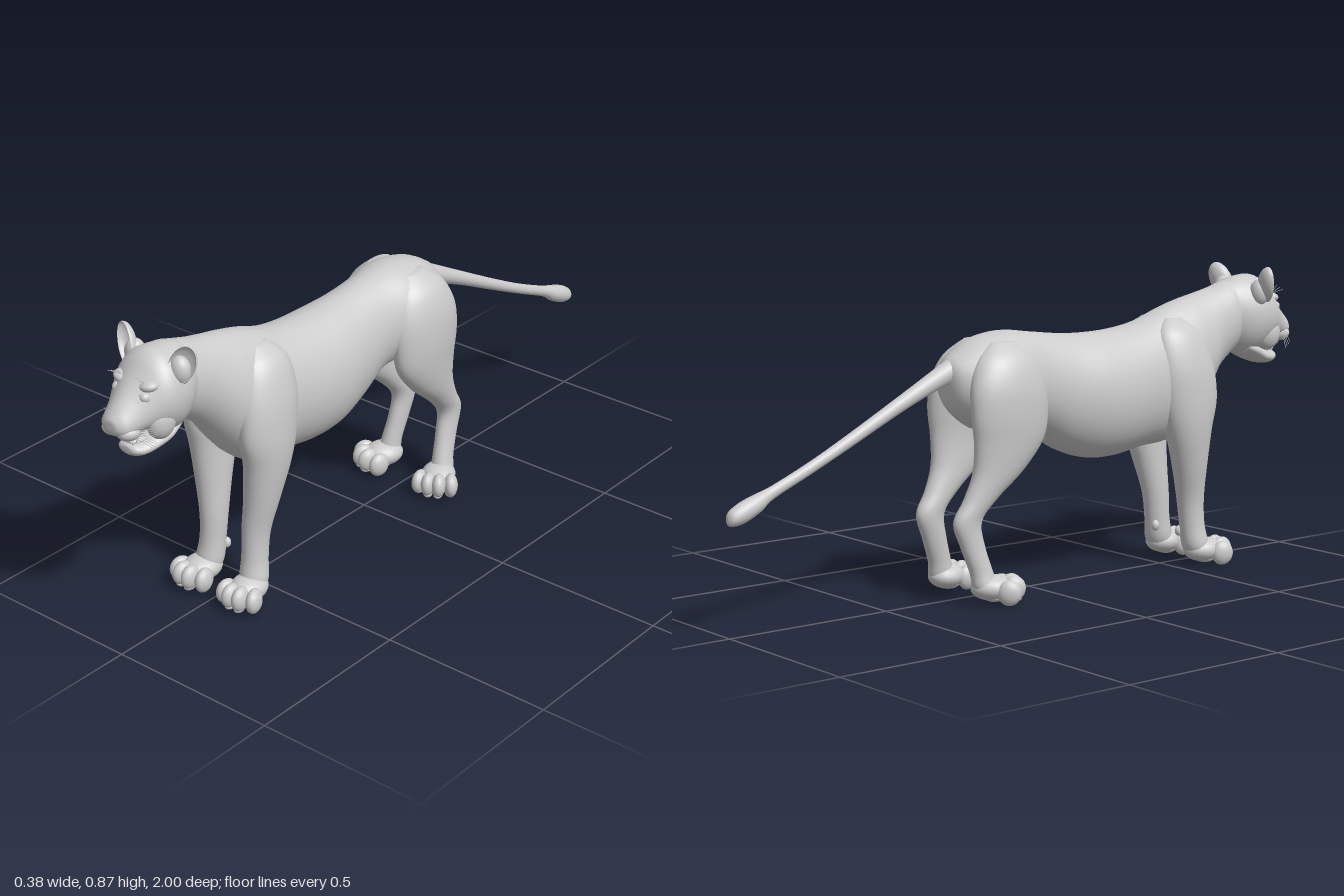
import * as THREE from 'three';

const grey = new THREE.MeshStandardMaterial({ color: 0xcccccc });
const thin = new THREE.MeshStandardMaterial({ color: 0xcccccc, side: THREE.DoubleSide });

function add(parent, name, geometry, material = grey) {
  const mesh = new THREE.Mesh(geometry, material);
  mesh.name = name;
  parent.add(mesh);
  return mesh;
}

function ellipsoid(parent, name, p, r, seg = 20) {
  const mesh = add(parent, name, new THREE.SphereGeometry(1, seg, Math.ceil(seg * 0.7)));
  mesh.position.set(...p);
  mesh.scale.set(...r);
  return mesh;
}

// Smooth skin through oval sections [x, y, z, half width, half depth, taper].
// Depth runs along y (sections go back to front) or along z (sections go top to bottom).
function loft(sections, alongZ, sub = 5, sides = 36) {
  const cr = (a, b, c, d, t) => 0.5 * (2 * b + (c - a) * t + (2 * a - 5 * b + 4 * c - d) * t * t + (3 * b - a - 3 * c + d) * t ** 3);
  const last = sections.length - 1;
  const at = (i) => sections[Math.min(Math.max(i, 0), last)];
  const rings = [];
  for (let i = 0; i < last; i++) {
    for (let k = 0; k < sub; k++) {
      rings.push(at(i).map((v, n) => cr(at(i - 1)[n], v, at(i + 1)[n], at(i + 2)[n], k / sub)));
    }
  }
  rings.push(at(last));
  const pos = [], index = [];
  for (const [x, y, z, a, b, taper = 0] of rings) {
    for (let j = 0; j < sides; j++) {
      const t = (j / sides) * Math.PI * 2, s = Math.sin(t);
      const px = x + a * Math.cos(t) * (1 - taper * s);
      pos.push(px, alongZ ? y + b * s : y, alongZ ? z : z + b * s);
    }
  }
  for (let i = 0; i < rings.length - 1; i++) {
    for (let j = 0; j < sides; j++) {
      const p = i * sides + j, q = i * sides + (j + 1) % sides;
      index.push(p, q, p + sides, q, q + sides, p + sides);
    }
  }
  const end = rings.length * sides;
  pos.push(...rings[0].slice(0, 3), ...at(last).slice(0, 3));
  for (let j = 0; j < sides; j++) {
    const k = (j + 1) % sides;
    index.push(end, k, j, end + 1, end - sides + j, end - sides + k);
  }
  const g = new THREE.BufferGeometry();
  g.setAttribute('position', new THREE.Float32BufferAttribute(pos, 3));
  g.setIndex(index);
  g.computeVertexNormals();
  return g;
}

// Central profile given as [z, top, bottom, half width, taper]
const profile = (rows) => loft(rows.map(([z, t, b, w, k = 0]) => [0, (t + b) / 2, z, w, (t - b) / 2, k]), true);
// Limb given as [y, x, z, half width, half depth]
const limb = (rows, s) => loft(rows.map(([y, x, z, a, b]) => [x * s, y, z, a, b]), false);

function paw(parent, name, s, x, z, yaw) {
  const g = new THREE.Group();
  g.name = name;
  g.position.set(x * s, 0, z);
  g.rotation.y = yaw * s;
  parent.add(g);
  ellipsoid(g, 'pawBody', [0, 0.042, 0], [0.05, 0.036, 0.062]);
  ellipsoid(g, 'heelPad', [0, 0.016, 0.005], [0.034, 0.014, 0.03], 14);
  for (const i of [-1.5, -0.5, 0.5, 1.5]) {
    const tz = 0.06 - 0.01 * i * i;
    ellipsoid(g, 'toe', [i * 0.031, 0.04 - 0.003 * i * i, tz], [0.021, 0.036, 0.034], 16).rotation.y = i * 0.15;
    ellipsoid(g, 'toePad', [i * 0.03, 0.011, tz + 0.004], [0.014, 0.01, 0.02], 10);
  }
}

function whisker(parent, a, b, sag) {
  const p = new THREE.Vector3(...a), q = new THREE.Vector3(...b);
  const mid = p.clone().lerp(q, 0.5);
  mid.y += sag;
  add(parent, 'whisker', new THREE.TubeGeometry(new THREE.QuadraticBezierCurve3(p, mid, q), 6, 0.0008, 4));
}

function addHead(root) {
  const head = new THREE.Group();
  head.name = 'head';
  root.add(head);
  add(head, 'skull', profile([
    [0.73, 0.815, 0.65, 0.06], [0.77, 0.832, 0.615, 0.083], [0.81, 0.838, 0.6, 0.097], [0.85, 0.839, 0.605, 0.101],
    [0.88, 0.822, 0.622, 0.095, 0.04], [0.91, 0.788, 0.635, 0.079, 0.1], [0.94, 0.757, 0.64, 0.061, 0.2],
    [0.965, 0.733, 0.641, 0.05, 0.25], [0.985, 0.712, 0.645, 0.041, 0.2], [0.997, 0.697, 0.655, 0.026, 0.1], [1.0, 0.688, 0.667, 0.012],
  ]));
  add(head, 'lowerJaw', profile([
    [0.8, 0.65, 0.605, 0.06], [0.84, 0.638, 0.583, 0.066], [0.88, 0.617, 0.569, 0.055],
    [0.915, 0.606, 0.565, 0.045], [0.938, 0.605, 0.571, 0.034], [0.947, 0.598, 0.58, 0.018],
  ]));
  ellipsoid(head, 'tongue', [0, 0.607, 0.895], [0.026, 0.01, 0.045]);
  // Nose leather, narrowing downwards
  ellipsoid(head, 'nose', [0, 0.684, 0.986], [0.025, 0.012, 0.014]);
  ellipsoid(head, 'noseTip', [0, 0.672, 0.988], [0.012, 0.014, 0.012]);

  for (const s of [1, -1]) {
    ellipsoid(head, 'muzzlePad', [0.025 * s, 0.655, 0.958], [0.031, 0.023, 0.034]);
    ellipsoid(head, 'cheek', [0.058 * s, 0.665, 0.875], [0.033, 0.052, 0.045]);
    ellipsoid(head, 'brow', [0.044 * s, 0.766, 0.898], [0.028, 0.016, 0.026]).rotation.z = 0.2 * s;
    ellipsoid(head, 'eye', [0.047 * s, 0.742, 0.917], [0.015, 0.014, 0.016]);
    const lid = add(head, 'eyelid', new THREE.TorusGeometry(0.0145, 0.0035, 8, 24));
    lid.position.set(0.048 * s, 0.742, 0.925);
    lid.scale.y = 0.7;
    lid.rotation.set(-0.25, 0.45 * s, 0.15 * s);

    // Rounded ear cup, open to the front
    const cup = new THREE.SphereGeometry(1, 28, 14, 0, Math.PI * 2, 0, Math.PI * 0.55).rotateX(-Math.PI / 2);
    const ear = add(head, 'ear', cup, thin);
    ear.scale.set(0.036, 0.058, 0.026);
    ear.position.set(0.098 * s, 0.814, 0.833);
    ear.rotation.set(-0.12, 0.3 * s, -0.42 * s);
    ellipsoid(head, 'earBase', [0.078 * s, 0.79, 0.82], [0.03, 0.04, 0.027]);

    for (const [y, dir, z, len] of [[0.632, -1, 0.955, 0.021], [0.619, 1, 0.928, 0.02]]) {
      const tooth = add(head, 'canine', new THREE.ConeGeometry(0.0055, len, 10));
      tooth.position.set(0.025 * s, y, z);
      if (dir < 0) tooth.rotation.x = Math.PI;
    }
    for (let i = 0; i < 8; i++) {
      const y = 0.645 + 0.006 * (i % 4), z = 0.962 - 0.012 * Math.floor(i / 4);
      whisker(head, [0.04 * s, y, z], [(0.082 + 0.006 * (i % 4)) * s, 0.615 + 0.007 * i, z - 0.03], 0.006);
    }
    for (let i = 0; i < 3; i++) {
      whisker(head, [0.04 * s, 0.775, 0.91], [(0.034 + 0.013 * i) * s, 0.802 - 0.006 * i, 0.938], 0.005);
    }
  }
  for (let i = -2; i <= 2; i++) ellipsoid(head, 'incisor', [i * 0.008, 0.606, 0.936], [0.004, 0.006, 0.003], 8);
}

export function createModel() {
  const root = new THREE.Group();
  root.name = 'lioness';

  // Trunk and neck
  add(root, 'body', profile([
    [-0.295, 0.655, 0.6, 0.02], [-0.275, 0.68, 0.53, 0.065], [-0.2, 0.722, 0.47, 0.115], [-0.1, 0.738, 0.45, 0.128],
    [0, 0.727, 0.437, 0.108], [0.1, 0.715, 0.38, 0.116], [0.2, 0.71, 0.348, 0.132], [0.3, 0.713, 0.345, 0.132],
    [0.4, 0.728, 0.36, 0.126], [0.5, 0.763, 0.37, 0.122, 0.1], [0.57, 0.782, 0.415, 0.116, 0.1],
    [0.63, 0.795, 0.482, 0.1, 0.1], [0.69, 0.808, 0.555, 0.083], [0.75, 0.825, 0.603, 0.076], [0.81, 0.832, 0.64, 0.06],
  ]));

  // Tail with a tuft at the tip
  add(root, 'tail', loft([
    [0, 0.308, -1, 0.005, 0.008], [0, 0.313, -0.99, 0.02, 0.021], [0, 0.325, -0.955, 0.027, 0.029],
    [0, 0.345, -0.905, 0.023, 0.026], [0, 0.368, -0.86, 0.015, 0.018], [0, 0.42, -0.74, 0.015, 0.017],
    [0, 0.483, -0.607, 0.017, 0.019], [0, 0.575, -0.42, 0.021, 0.024], [0, 0.636, -0.285, 0.03, 0.034], [0, 0.66, -0.2, 0.045, 0.05],
  ], true, 5, 20));

  for (const s of [1, -1]) {
    const side = s > 0 ? 'left' : 'right';
    add(root, side + 'FrontLeg', limb([
      [0.735, 0.05, 0.5, 0.015, 0.03], [0.69, 0.075, 0.5, 0.042, 0.075], [0.6, 0.094, 0.51, 0.054, 0.098],
      [0.5, 0.1, 0.52, 0.057, 0.098], [0.41, 0.098, 0.522, 0.055, 0.078], [0.3, 0.088, 0.536, 0.047, 0.056],
      [0.2, 0.077, 0.55, 0.038, 0.043], [0.12, 0.077, 0.558, 0.036, 0.039], [0.06, 0.081, 0.568, 0.04, 0.041], [0.025, 0.083, 0.575, 0.03, 0.03],
    ], s));
    ellipsoid(root, 'dewclaw', [0.052 * s, 0.1, 0.53], [0.012, 0.016, 0.013], 12);
    paw(root, side + 'FrontPaw', s, 0.085, 0.595, 0.08);

    add(root, side + 'HindLeg', limb([
      [0.715, 0.06, -0.14, 0.02, 0.04], [0.67, 0.075, -0.145, 0.055, 0.092], [0.6, 0.092, -0.148, 0.062, 0.122],
      [0.52, 0.1, -0.148, 0.058, 0.127], [0.44, 0.1, -0.152, 0.051, 0.115], [0.36, 0.095, -0.187, 0.044, 0.083],
      [0.29, 0.089, -0.243, 0.035, 0.054], [0.23, 0.085, -0.285, 0.029, 0.045], [0.16, 0.088, -0.27, 0.027, 0.038],
      [0.09, 0.095, -0.247, 0.028, 0.035], [0.05, 0.1, -0.238, 0.032, 0.037], [0.025, 0.1, -0.235, 0.025, 0.028],
    ], s));
    paw(root, side + 'HindPaw', s, 0.104, -0.215, 0.42);
  }

  addHead(root);
  return root;
}
